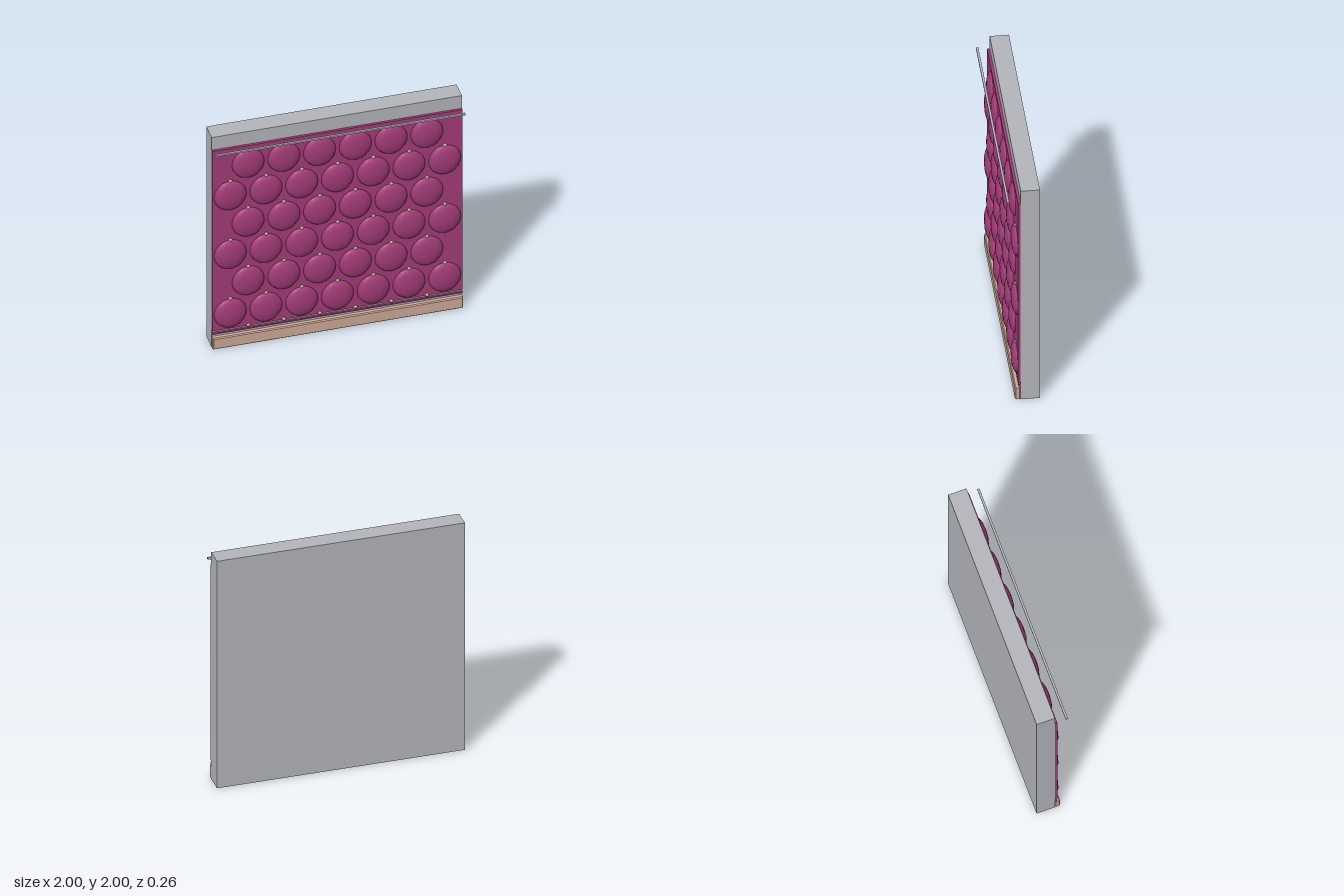
import * as THREE from 'three';

const mat = (name, color) => {
  const m = new THREE.MeshStandardMaterial({ color });
  m.name = name;
  return m;
};

export function createModel() {
  const model = new THREE.Group();
  model.name = 'paddedWall';
  const grey = mat('wall grey', 0xb4b6bc);
  const plum = mat('plum fabric', 0xa33c78);
  const wood = mat('pale wood', 0xcfaa98);
  const brass = mat('pale brass', 0xc9b994);

  const add = (parent, name, geometry, material, x, y, z) => {
    const mesh = new THREE.Mesh(geometry, material);
    mesh.name = name;
    mesh.position.set(x, y, z);
    parent.add(mesh);
    return mesh;
  };
  const box = (name, material, y0, y1, z0, z1) =>
    add(model, name, new THREE.BoxGeometry(2, y1 - y0, z1 - z0), material, 0, (y0 + y1) / 2, (z0 + z1) / 2);

  // Wall slab, fabric backing and thin trims
  box('wall', grey, 0, 2, -0.13, 0.02);
  box('fabricPanel', plum, 0.165, 1.88, 0.02, 0.04);
  box('lowerPiping', plum, 0.128, 0.141, 0.02, 0.036);
  box('hangingRail', grey, 1.887, 1.901, 0.108, 0.126);

  // Skirting board with chamfered edges
  const b = 0.008, x = 1 - b, h = 0.053 - b, d = 0.044;
  const outline = new THREE.Shape([
    new THREE.Vector2(-x, -h), new THREE.Vector2(x, -h),
    new THREE.Vector2(x, h), new THREE.Vector2(-x, h),
  ]);
  const board = new THREE.ExtrudeGeometry(outline, {
    depth: d - 2 * b, bevelEnabled: true, bevelThickness: b, bevelSize: b, bevelSegments: 1,
  });
  add(model, 'skirtingBoard', board, wood, 0, 0.056, 0.02 + b);

  // Staggered cushions with a stud in each gap
  const cushions = new THREE.Group();
  cushions.name = 'cushions';
  const studs = new THREE.Group();
  studs.name = 'studs';
  model.add(cushions, studs);
  const cushion = new THREE.SphereGeometry(1, 12, 12).scale(0.13, 0.136, 0.039);
  const stud = new THREE.SphereGeometry(0.016, 6, 5).scale(1, 1, 0.6);
  const pitch = 2 / 7;
  const spread = (count, place) => {
    for (let i = 0; i < count; i++) place((i - (count - 1) / 2) * pitch);
  };
  for (let row = 0; row < 6; row++) {
    const y = 0.315 + row * 0.28;
    const wide = row % 2 === 0;
    spread(wide ? 7 : 6, (px) => add(cushions, 'cushion', cushion, plum, px, y, 0.04));
    spread(wide ? 6 : 7, (px) => add(studs, 'stud', stud, brass, px, y - 0.14, 0.047));
  }
  return model;
}
